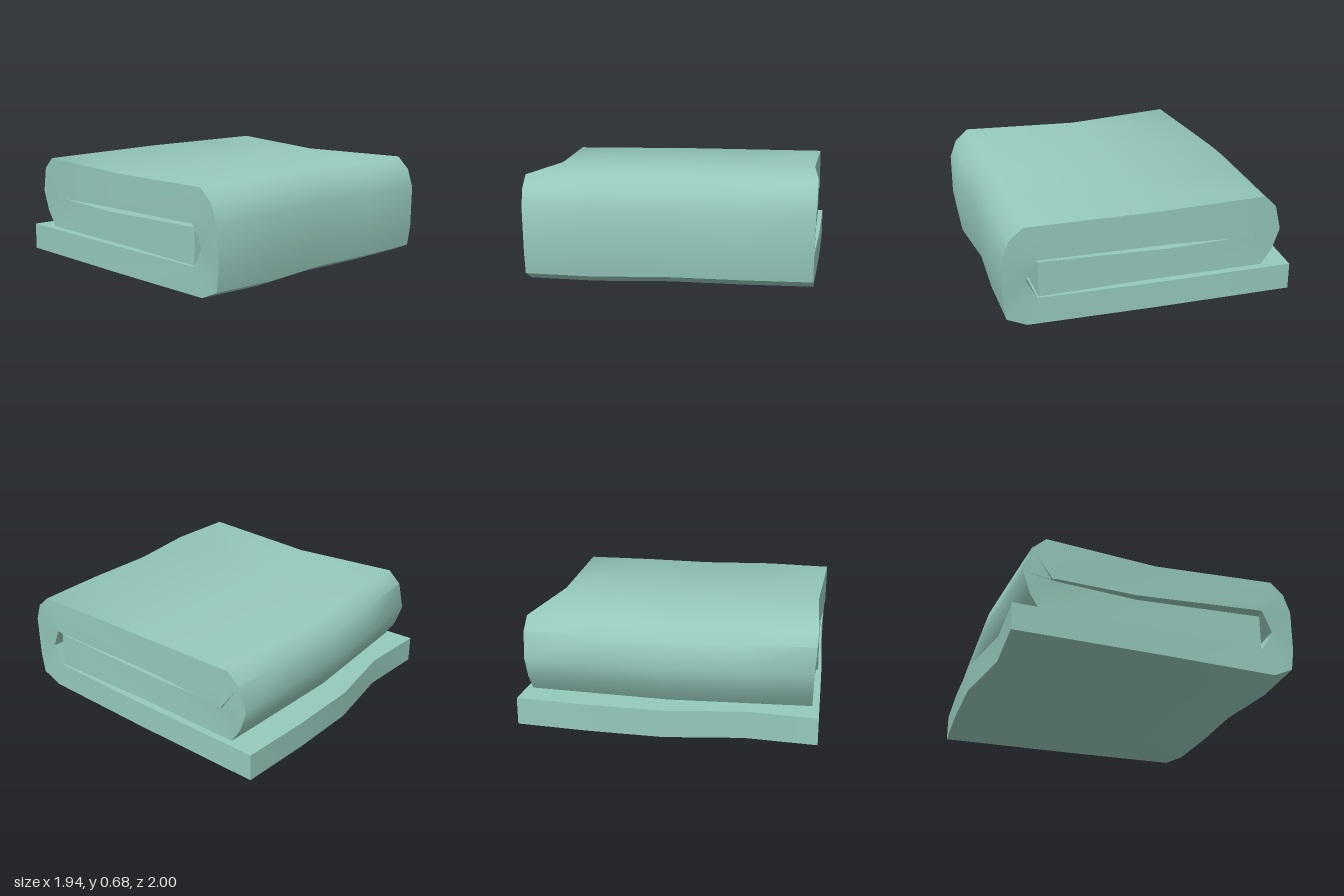
import * as THREE from 'three';
import { toCreasedNormals } from 'three/addons/utils/BufferGeometryUtils.js';

// Sections across the width, with the sideways wave of each zone of the cloth
const U = [-1, -0.52, 0, 0.5, 1];
const HEM = [0, 0.03, -0.045, -0.033, 0];
const FOLD = [0, 0.03, -0.018, 0.003, 0];
const ROLL = [0, -0.025, -0.05, -0.025, 0];
const SAG = [0, -0.03, -0.035, -0.03, 0];
const mix = (a, b) => a.map((v, i) => (v + b[i]) / 2);

// Fold path: outer z, y, inner z, y, half width, wave, underside sags
const PATH = [
  [-0.955, 0, -0.955, 0.18, 0.97, HEM],
  [0, 0, 0, 0.18, 0.945, mix(HEM, FOLD)],
  [0.82, 0, 0.75, 0.18, 0.91, FOLD],
  [0.95, 0.06, 0.785, 0.245, 0.91, FOLD],
  [0.97, 0.2, 0.82, 0.31, 0.912, FOLD],
  [0.968, 0.48, 0.785, 0.38, 0.92, FOLD],
  [0.92, 0.6, 0.75, 0.45, 0.928, FOLD, 1],
  [0.83, 0.68, 0.7, 0.448, 0.93, FOLD, 1],
  [0, 0.655, -0.13, 0.416, 0.905, mix(FOLD, ROLL), 1],
  [-0.75, 0.68, -0.68, 0.407, 0.943, ROLL],
  [-0.84, 0.6, -0.7, 0.406, 0.94, ROLL],
  [-0.885, 0.43, -0.705, 0.405, 0.93, ROLL],
  [-0.84, 0.29, -0.7, 0.404, 0.925, ROLL],
  [-0.77, 0.183, -0.66, 0.403, 0.92, ROLL],
  [0, 0.183, -0.13, 0.385, 0.9, mix(FOLD, ROLL)],
  [0.74, 0.183, 0.74, 0.42, 0.9, FOLD],
];

function clothGeometry() {
  const positions = [];
  const outer = (p, s) => {
    const [z, y, , , w, wave] = PATH[p];
    return [U[s] * w, y, z + wave[s]];
  };
  const inner = (p, s) => {
    const [, , z, y, w, wave, sag] = PATH[p];
    return [U[s] * w, y + (sag ? SAG[s] : 0), z + wave[s]];
  };
  const quad = (a, b, c, d) => positions.push(...a, ...b, ...c, ...a, ...c, ...d);
  const last = PATH.length - 1;
  const end = U.length - 1;

  for (let p = 0; p < last; p++) {
    // Two faces of the cloth
    for (let s = 0; s < end; s++) {
      quad(outer(p, s), outer(p, s + 1), outer(p + 1, s + 1), outer(p + 1, s));
      quad(inner(p, s), inner(p + 1, s), inner(p + 1, s + 1), inner(p, s + 1));
    }
    // Side edges
    quad(outer(p, end), inner(p, end), inner(p + 1, end), outer(p + 1, end));
    quad(outer(p, 0), outer(p + 1, 0), inner(p + 1, 0), inner(p, 0));
  }
  // Hems at both ends of the cloth
  for (let s = 0; s < end; s++) {
    quad(outer(0, s), inner(0, s), inner(0, s + 1), outer(0, s + 1));
    quad(outer(last, s), outer(last, s + 1), inner(last, s + 1), inner(last, s));
  }

  const geometry = new THREE.BufferGeometry();
  geometry.setAttribute('position', new THREE.Float32BufferAttribute(positions, 3));
  return toCreasedNormals(geometry, 0.95);
}

export function createModel() {
  const group = new THREE.Group();
  group.name = 'foldedTowel';
  const material = new THREE.MeshStandardMaterial({ color: 0x95c9bc });
  material.name = 'paleTealCloth';
  const cloth = new THREE.Mesh(clothGeometry(), material);
  cloth.name = 'foldedCloth';
  group.add(cloth);
  return group;
}
